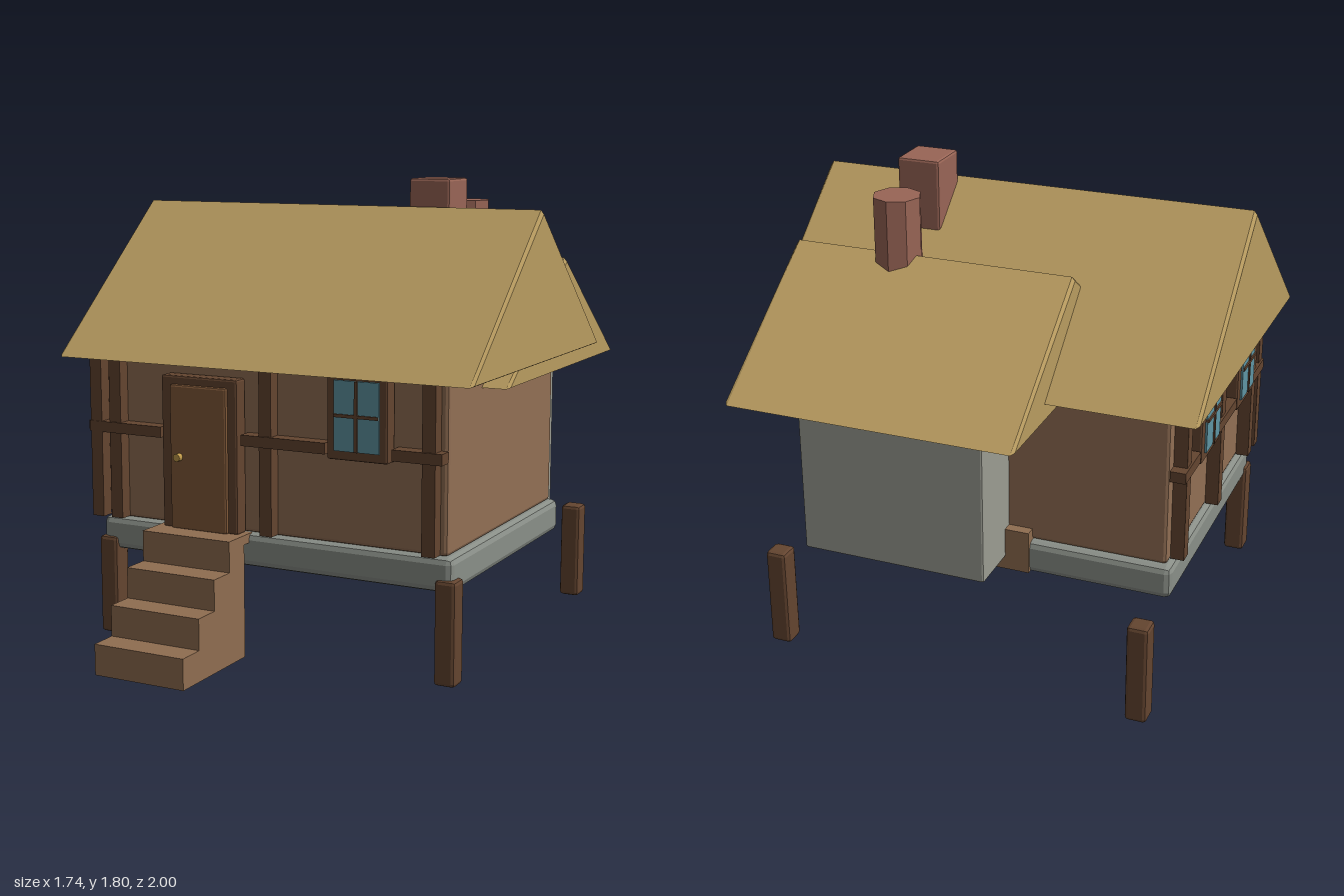
import * as THREE from 'three';
import { RoundedBoxGeometry } from 'three/addons/geometries/RoundedBoxGeometry.js';

const mat = (color) => new THREE.MeshStandardMaterial({ color, flatShading: true });
const MAT = {
  wall: mat(0x926f54), roof: mat(0xb99c60), stone: mat(0x8a8f88), annex: mat(0x9b9c92),
  beam: mat(0x644530), door: mat(0x825a3a), brick: mat(0x996556), step: mat(0x8f6d50),
  glass: mat(0x5f95a3), brass: mat(0xc09a4a),
};

// Box given by its extents on each axis, with optional rounded edges
function box(parent, name, material, [x0, x1], [y0, y1], [z0, z1], r = 0) {
  const size = [x1 - x0, y1 - y0, z1 - z0];
  const geo = r ? new RoundedBoxGeometry(...size, 1, r) : new THREE.BoxGeometry(...size);
  const mesh = new THREE.Mesh(geo, material);
  mesh.name = name;
  mesh.position.set((x0 + x1) / 2, (y0 + y1) / 2, (z0 + z1) / 2);
  parent.add(mesh);
  return mesh;
}

// Solid gable roof with its ridge along x
function gableRoof(parent, name, [x0, x1], [eave, ridge], [back, mid, front]) {
  const b = 0.012;
  const shape = new THREE.Shape();
  shape.moveTo(back, eave);
  shape.lineTo(front, eave);
  shape.lineTo(mid, ridge);
  shape.closePath();
  const geo = new THREE.ExtrudeGeometry(shape, {
    depth: x1 - x0 - 2 * b, bevelSize: b, bevelThickness: b, bevelOffset: -b, bevelSegments: 1,
  });
  geo.rotateY(-Math.PI / 2).translate(x1 - b, 0, 0);
  const mesh = new THREE.Mesh(geo, MAT.roof);
  mesh.name = name;
  parent.add(mesh);
}

// Framed four-pane window; local z = 0 is the wall face
function windowUnit(parent, x) {
  const g = new THREE.Group();
  g.name = 'window';
  g.position.x = x;
  box(g, 'windowFrame', MAT.beam, [-0.123, 0.123], [0.805, 1.115], [0, 0.062], 0.008);
  box(g, 'windowPane', MAT.glass, [-0.09, 0.09], [0.84, 1.1], [0.02, 0.07]);
  box(g, 'windowBar', MAT.beam, [-0.006, 0.006], [0.84, 1.1], [0.04, 0.076]);
  box(g, 'windowBar', MAT.beam, [-0.09, 0.09], [0.965, 0.977], [0.04, 0.076]);
  parent.add(g);
}

// Timber posts and rails on one wall
function timbers(parent, posts, rails) {
  for (const x of posts)
    box(parent, 'timberPost', MAT.beam, [x - 0.026, x + 0.026], [0.48, 1.12], [0, 0.052]);
  for (const r of rails)
    box(parent, 'timberRail', MAT.beam, r, [0.82, 0.862], [0, 0.06]);
}

export function createModel() {
  const house = new THREE.Group();
  house.name = 'house';

  // Platform and walls
  box(house, 'platform', MAT.stone, [-0.755, 0.75], [0.345, 0.475], [-0.59, 0.525], 0.025);
  box(house, 'mainWalls', MAT.wall, [-0.73, 0.722], [0.475, 1.125], [-0.56, 0.5], 0.014);
  box(house, 'rearAnnex', MAT.annex, [-0.105, 0.637], [0.4, 1.06], [-0.81, -0.2], 0.008);
  box(house, 'rearSill', MAT.step, [-0.2, 0.11], [0.35, 0.52], [-0.602, -0.5]);

  // Stilts
  for (const x of [-0.727, 0.727])
    for (const z of [-0.85, 0.495])
      box(house, 'stilt', MAT.beam, [x - 0.042, x + 0.042], [0, 0.395], [z - 0.042, z + 0.042], 0.014);

  // Roofs
  gableRoof(house, 'mainRoof', [-0.87, 0.866], [1.118, 1.695], [-0.705, -0.03, 0.635]);
  gableRoof(house, 'annexRoof', [-0.303, 0.83], [1.05, 1.49], [-1, -0.4, 0.2]);

  // Chimneys
  box(house, 'squareChimney', MAT.brick, [0.31, 0.48], [1.25, 1.803], [-0.22, -0.042], 0.01);
  const flue = new THREE.Mesh(new THREE.CylinderGeometry(0.093, 0.093, 0.5, 8), MAT.brick);
  flue.name = 'roundChimney';
  flue.position.set(0.41, 1.46, -0.377);
  house.add(flue);

  // Front wall dressing
  const front = new THREE.Group();
  front.name = 'frontWall';
  front.position.z = 0.5;
  house.add(front);
  timbers(front, [-0.67, 0, 0.667], [[-0.785, -0.455], [-0.1, 0.255], [0.525, 0.722]]);
  windowUnit(front, 0.388);
  box(front, 'doorFrame', MAT.beam, [-0.445, -0.112], [0.475, 1.068], [0, 0.065], 0.008);
  box(front, 'door', MAT.door, [-0.402, -0.153], [0.475, 1.035], [0.02, 0.078], 0.008);
  const knob = new THREE.Mesh(new THREE.CylinderGeometry(0.015, 0.015, 0.03, 12), MAT.brass);
  knob.name = 'doorKnob';
  knob.rotation.x = Math.PI / 2;
  knob.position.set(-0.36, 0.757, 0.086);
  front.add(knob);

  // Side wall dressing, local x runs along the wall
  const side = new THREE.Group();
  side.name = 'sideWall';
  side.position.x = -0.73;
  side.rotation.y = -Math.PI / 2;
  house.add(side);
  timbers(side, [-0.49, -0.03, 0.43, 0.53], [[-0.56, -0.37], [-0.11, 0.13], [0.39, 0.555]]);
  for (const z of [-0.24, 0.26]) windowUnit(side, z);

  // Entrance steps
  for (let i = 0; i < 4; i++) {
    const z = 1 - i * 0.11;
    box(house, 'step', MAT.step, [-0.472, -0.088], [0, 0.119 * (i + 1)], [z - 0.11, z]);
  }
  box(house, 'stepLanding', MAT.step, [-0.472, -0.088], [0.44, 0.476], [0.5, 0.56]);

  return house;
}
